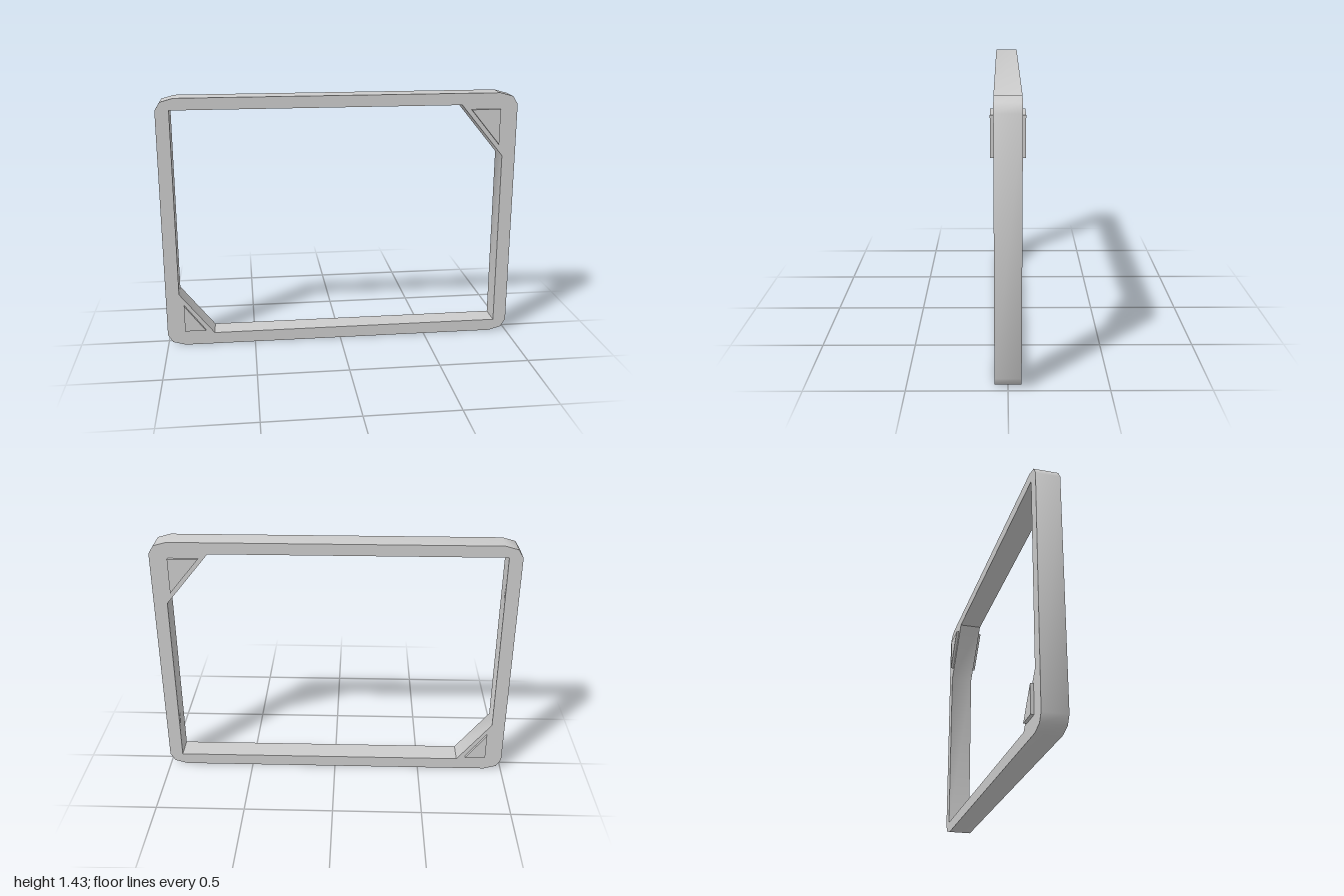
import * as THREE from 'three';
import { toCreasedNormals } from 'three/addons/utils/BufferGeometryUtils.js';

const points = (list) => list.map(([x, y]) => new THREE.Vector2(x, y));

// Extrudes a shape along z, centred on z = 0
function slab(shape, depth) {
  const geometry = new THREE.ExtrudeGeometry(shape, { depth, bevelEnabled: false });
  geometry.translate(0, 0, -depth / 2);
  return toCreasedNormals(geometry, 0.78);
}

export function createModel() {
  const model = new THREE.Group();
  model.name = 'cornerBracedFrame';
  const material = new THREE.MeshStandardMaterial({ color: 0xcccccc });

  const add = (name, geometry, z = 0) => {
    const mesh = new THREE.Mesh(geometry, material);
    mesh.name = name;
    mesh.position.z = z;
    model.add(mesh);
  };

  // Frame: faceted round corners outside, two braced corners inside
  const height = 1.43;
  const frameDepth = 0.132;
  const outline = new THREE.Shape(points([
    [-0.9, 0], [0.9, 0], [0.972, 0.02], [1, 0.065],
    [1, height - 0.065], [0.972, height - 0.02], [0.9, height],
    [-0.9, height], [-0.972, height - 0.02], [-1, height - 0.065],
    [-1, 0.065], [-0.972, 0.02],
  ]));
  outline.holes.push(new THREE.Path(points([
    [-0.925, 0.31], [-0.925, 1.365], [0.683, 1.365],
    [0.925, 1.072], [0.925, 0.067], [-0.732, 0.067],
  ])));
  add('frame', slab(outline, frameDepth));

  // Raised triangular plates on both faces of each braced corner
  const plates = {
    upperLeft: [[0.735, 1.34], [0.9, 1.14], [0.9, 1.34]],
    lowerRight: [[-0.9, 0.09], [-0.782, 0.09], [-0.9, 0.245]],
  };
  const plateDepth = 0.03;
  const plateZ = 0.083 - plateDepth / 2;
  for (const [corner, triangle] of Object.entries(plates)) {
    const geometry = slab(new THREE.Shape(points(triangle)), plateDepth);
    add(`${corner}FrontPlate`, geometry, plateZ);
    add(`${corner}BackPlate`, geometry, -plateZ);
  }

  return model;
}
